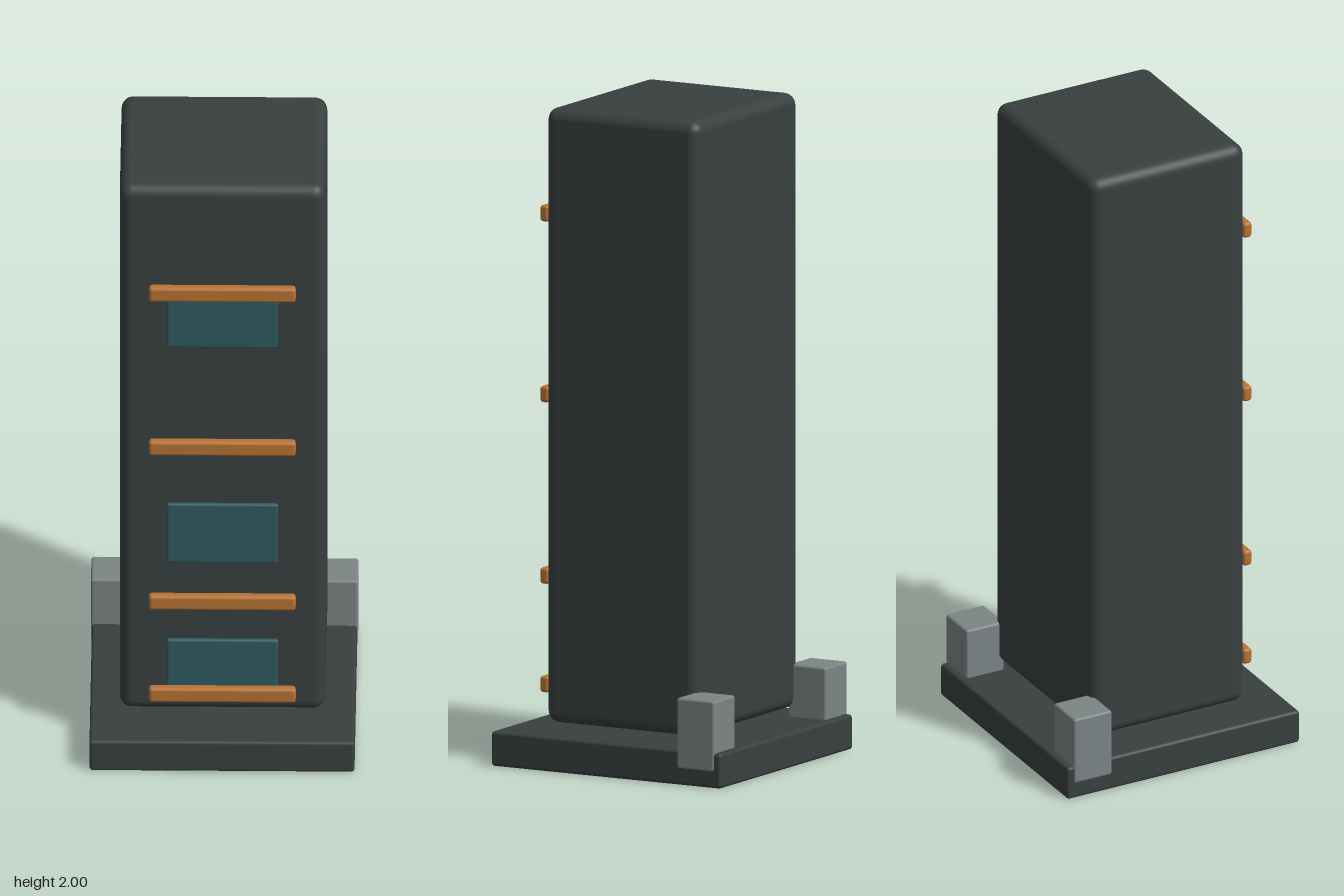
import * as THREE from 'three';
import { RoundedBoxGeometry } from 'three/addons/geometries/RoundedBoxGeometry.js';

function material(name, color) {
  const m = new THREE.MeshStandardMaterial({ color });
  m.name = name;
  return m;
}

export function createModel() {
  const model = new THREE.Group();
  model.name = 'tower';

  const slate = material('dark slate', 0x394040);
  const teal = material('dark teal', 0x2f5c63);
  const copper = material('copper', 0xb87333);
  const steel = material('steel grey', 0x7c8485);

  // Rounded box given by its centre x, bottom y, centre z and size
  function block(name, mat, [x, y, z], [w, h, d], radius) {
    const mesh = new THREE.Mesh(new RoundedBoxGeometry(w, h, d, 4, radius), mat);
    mesh.name = name;
    mesh.position.set(x, y + h / 2, z);
    model.add(mesh);
  }

  // Base slab and the tower floating just above it
  block('base', slate, [0, 0, 0], [0.794, 0.106, 0.794], 0.01);
  block('towerBody', slate, [0, 0.13, 0], [0.616, 1.87, 0.528], 0.036);

  // Rear corner posts
  for (const side of [-1, 1]) {
    block(side > 0 ? 'leftRearPost' : 'rightRearPost', steel,
      [side * 0.335, 0.05, -0.311], [0.13, 0.215, 0.13], 0.008);
  }

  // Front window panels
  [0.19, 0.675, 1.445].forEach((y, i) =>
    block(`windowPanel${i + 1}`, teal, [0, y, 0.28], [0.334, 0.21, 0.016], 0.007));

  // Front cross bars
  [0.228, 0.558, 1.11, 1.66].forEach((y, i) =>
    block(`crossBar${i + 1}`, copper, [0, y - 0.025, 0.317], [0.44, 0.05, 0.03], 0.01));

  return model;
}
